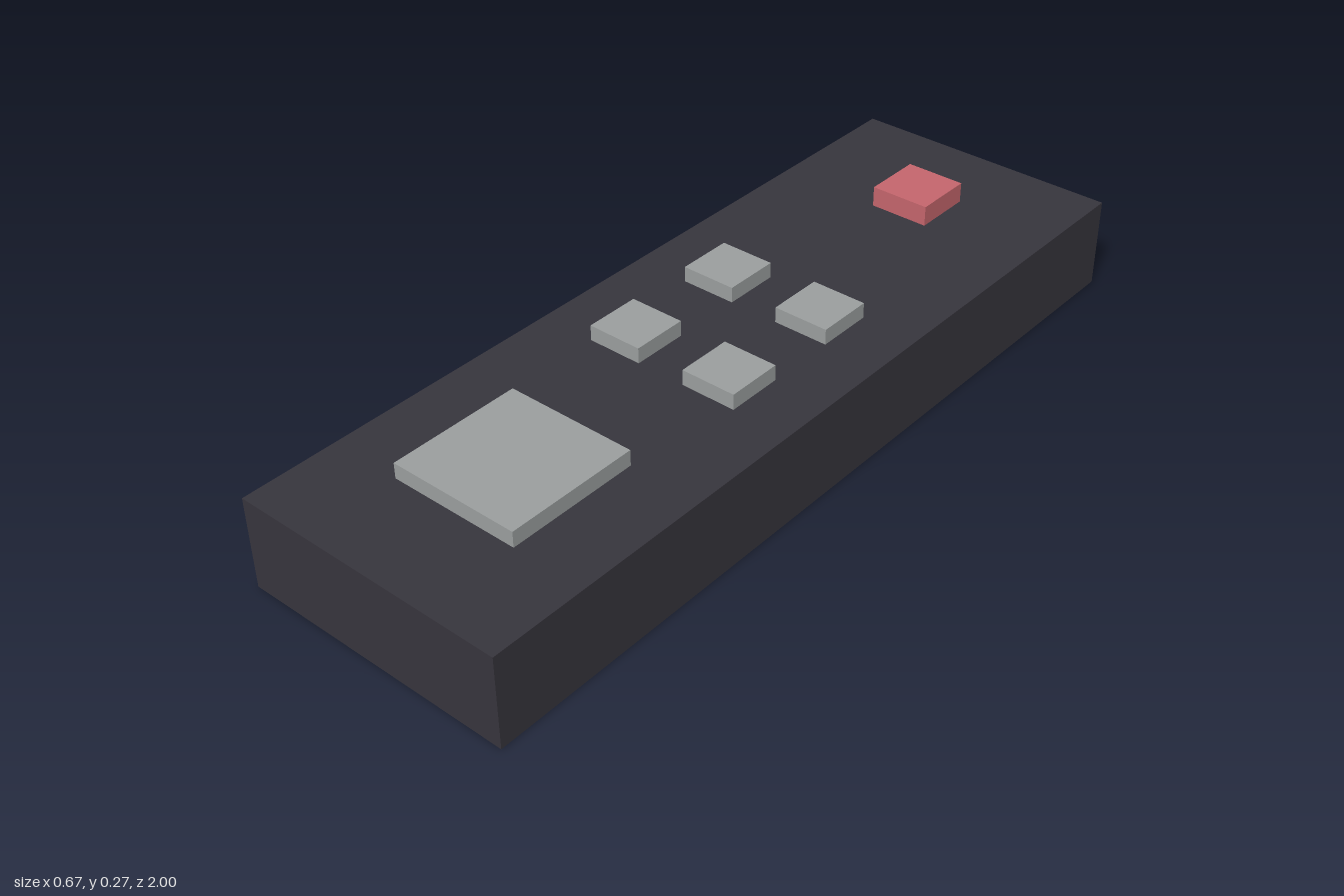
import * as THREE from 'three';

const TOP = 0.219; // height of the casing's upper face

export function createModel() {
  const group = new THREE.Group();
  const material = (name, color) => {
    const m = new THREE.MeshStandardMaterial({ color });
    m.name = name;
    return m;
  };
  const charcoal = material('charcoal', 0x37353d);
  const grey = material('grey', 0x9b9f9f);
  const red = material('red', 0xc5666d);

  // Box standing on height y
  const block = (name, mat, w, h, d, x, y, z) => {
    const mesh = new THREE.Mesh(new THREE.BoxGeometry(w, h, d), mat);
    mesh.name = name;
    mesh.position.set(x, y + h / 2, z);
    group.add(mesh);
  };

  // Casing
  block('casing', charcoal, 0.667, TOP, 2, 0, 0, 0);

  // Power button at the far end, large pad at the near end
  block('powerButton', red, 0.146, 0.049, 0.146, 0, TOP, -0.717);
  block('largePad', grey, 0.316, 0.037, 0.316, 0, TOP, 0.617);

  // Two rows of small buttons
  for (const z of [-0.175, 0.127]) {
    for (const side of [-1, 1]) {
      block(side > 0 ? 'leftButton' : 'rightButton', grey, 0.134, 0.037, 0.134, side * 0.127, TOP, z);
    }
  }
  return group;
}
